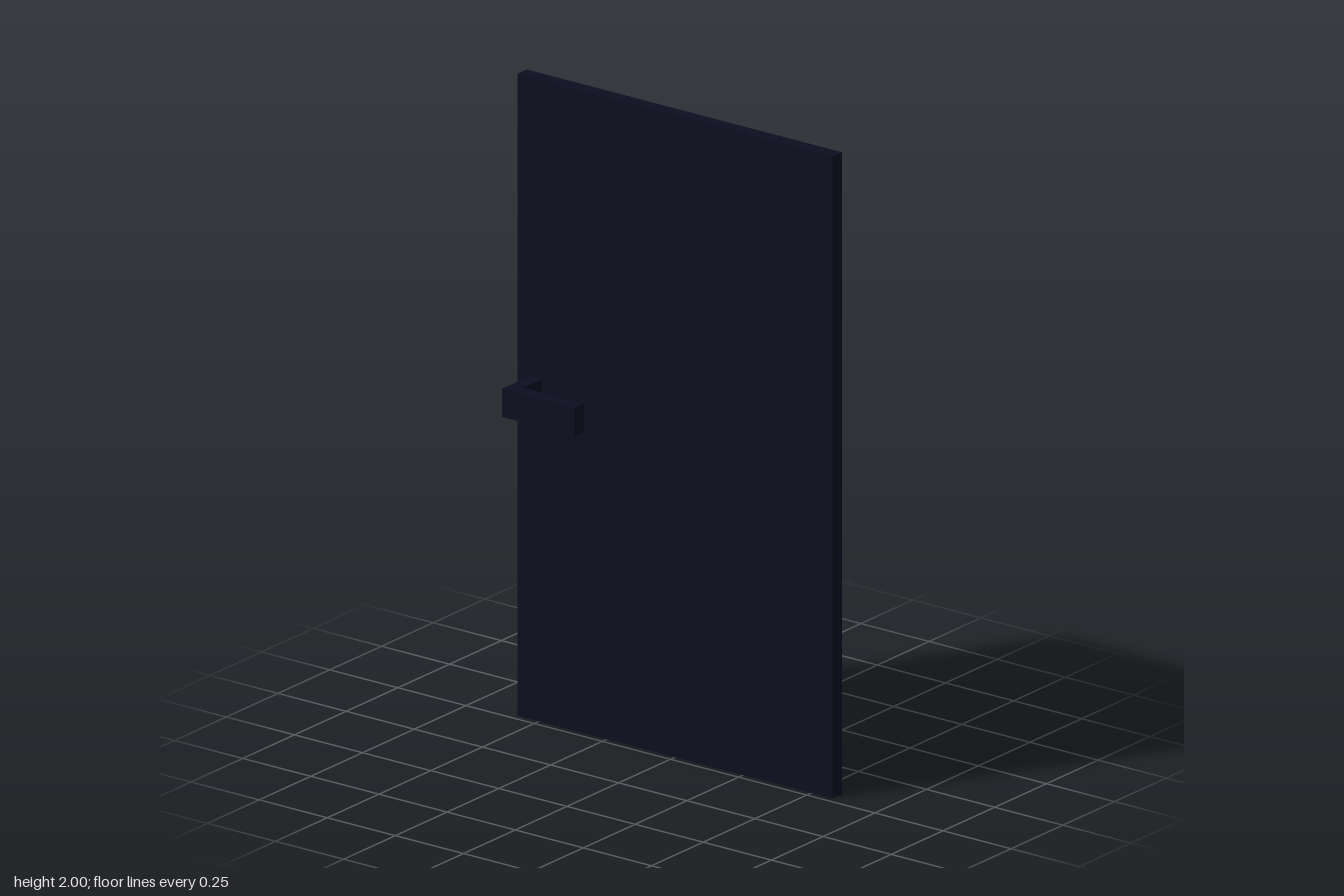
import * as THREE from 'three';

export function createModel() {
  const model = new THREE.Group();
  model.name = 'door';
  const darkNavy = new THREE.MeshStandardMaterial({ color: 0x0d0d20 });
  darkNavy.name = 'darkNavy';

  // Box given by its two opposite corners
  const addBox = (parent, name, [x0, y0, z0], [x1, y1, z1]) => {
    const mesh = new THREE.Mesh(new THREE.BoxGeometry(x1 - x0, y1 - y0, z1 - z0), darkNavy);
    mesh.position.set((x0 + x1) / 2, (y0 + y1) / 2, (z0 + z1) / 2);
    mesh.name = name;
    parent.add(mesh);
  };

  // Door leaf: wide front panel overlapping a smaller back panel
  addBox(model, 'frontPanel', [-0.578, 0, -0.067], [0.578, 2, -0.022]);
  addBox(model, 'backPanel', [-0.533, 0, -0.111], [0.533, 1.956, -0.067]);

  // Lever handle: stem out of the door, then a bar turned sideways
  const handle = new THREE.Group();
  handle.name = 'handle';
  addBox(handle, 'handleStem', [-0.533, 0.98, -0.022], [-0.489, 1.068, 0.067]);
  addBox(handle, 'handleBar', [-0.533, 0.98, 0.067], [-0.267, 1.068, 0.111]);
  model.add(handle);

  return model;
}
